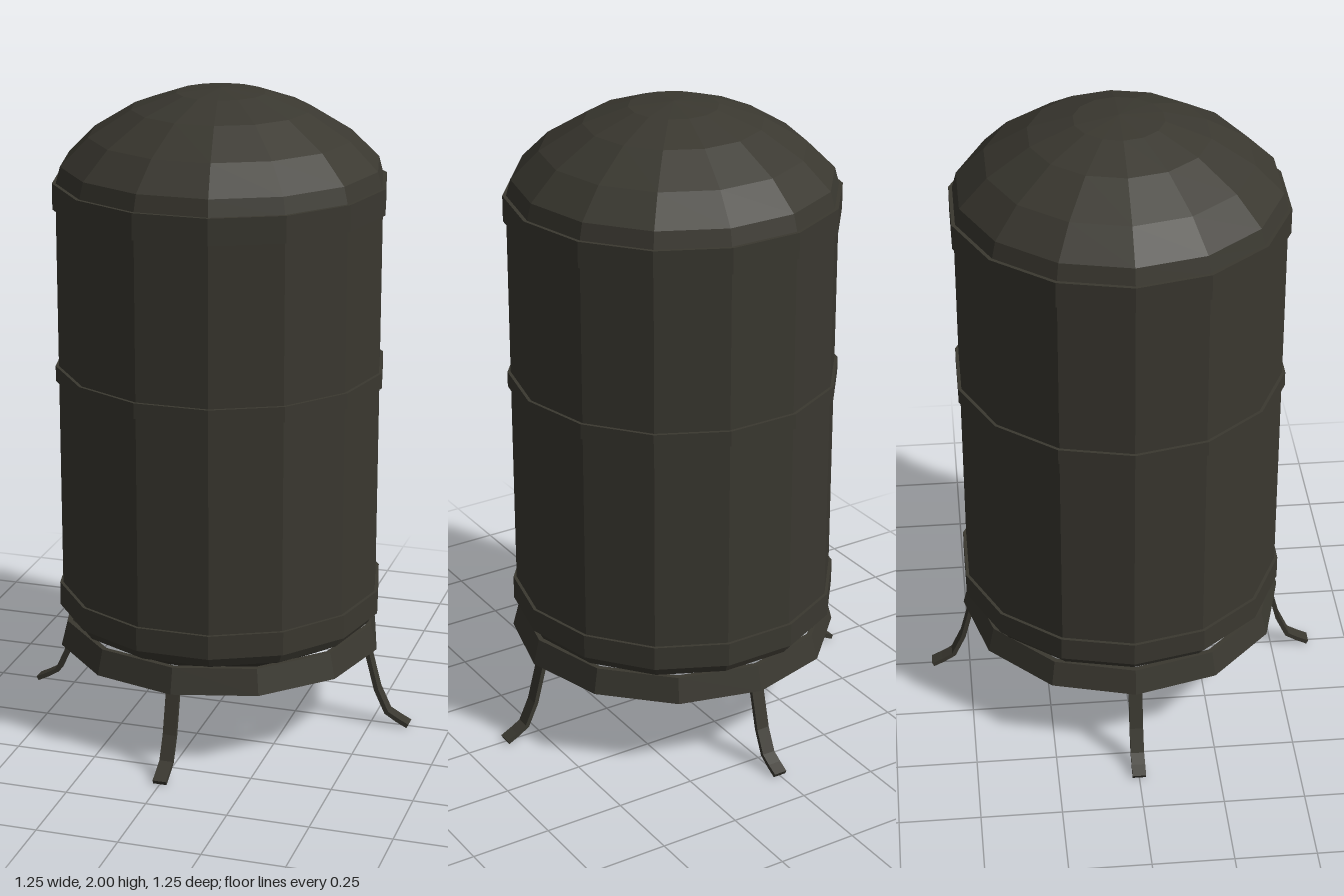
import * as THREE from 'three';

const darkOlive = new THREE.MeshStandardMaterial({ color: 0x3a3830, flatShading: true });
darkOlive.name = 'darkOlive';

// Faceted solid of revolution, profile given as [radius, height] from bottom to top
function ring(name, profile, sides) {
  const points = profile.map(([r, y]) => new THREE.Vector2(r, y));
  const mesh = new THREE.Mesh(new THREE.LatheGeometry(points, sides, Math.PI / 2), darkOlive);
  mesh.name = name;
  return mesh;
}

// Flat bent strip following a path in the x-y plane
function stripGeometry(path, thickness, width) {
  const pts = path.map(([x, y]) => new THREE.Vector2(x, y));
  const side = (s) => pts.map((p, i) => {
    const a = pts[Math.max(i - 1, 0)];
    const b = pts[Math.min(i + 1, pts.length - 1)];
    const d = b.clone().sub(a).normalize();
    return new THREE.Vector2(p.x - d.y * s, p.y + d.x * s);
  });
  const shape = new THREE.Shape([...side(thickness / 2), ...side(-thickness / 2).reverse()]);
  const geometry = new THREE.ExtrudeGeometry(shape, { depth: width, bevelEnabled: false });
  return geometry.translate(0, 0, -width / 2);
}

export function createModel() {
  const model = new THREE.Group();
  model.name = 'tank';

  // Fourteen-sided vessel with domed top and shallow domed underside
  const vessel = new THREE.Group();
  vessel.name = 'vessel';
  vessel.position.z = -0.005;
  model.add(vessel);

  vessel.add(ring('bottomDome', [
    [0, 0.215], [0.13, 0.222], [0.28, 0.25], [0.4, 0.29], [0.48, 0.335], [0.5, 0.375],
  ], 14));
  vessel.add(ring('body', [[0.5, 0.375], [0.5, 1.72]], 14));
  vessel.add(ring('topDome', [
    [0.5, 1.72], [0.485, 1.775], [0.4, 1.86], [0.27, 1.94], [0.135, 1.987], [0, 2],
  ], 14));

  // Raised hoops around the vessel
  const hoops = [['lowerBand', 0.37, 0.445], ['middleBand', 1.107, 1.155], ['upperBand', 1.645, 1.725]];
  for (const [name, y0, y1] of hoops) {
    vessel.add(ring(name, [[0.49, y0], [0.51, y0], [0.51, y1], [0.49, y1]], 14));
  }

  // Flared twelve-sided skirt, open underneath
  model.add(ring('skirt', [
    [0.475, 0.33], [0.5, 0.25], [0.512, 0.25], [0.492, 0.33], [0.475, 0.33],
  ], 12));

  // Four bent strap legs
  const legGeometry = stripGeometry([
    [0.468, 0.31], [0.484, 0.25], [0.518, 0.12], [0.552, 0.047], [0.587, 0.026], [0.621, 0.009],
  ], 0.014, 0.042);
  ['leftLeg', 'backLeg', 'rightLeg', 'frontLeg'].forEach((name, i) => {
    const leg = new THREE.Mesh(legGeometry, darkOlive);
    leg.name = name;
    leg.rotation.y = i * Math.PI / 2;
    model.add(leg);
  });

  return model;
}
